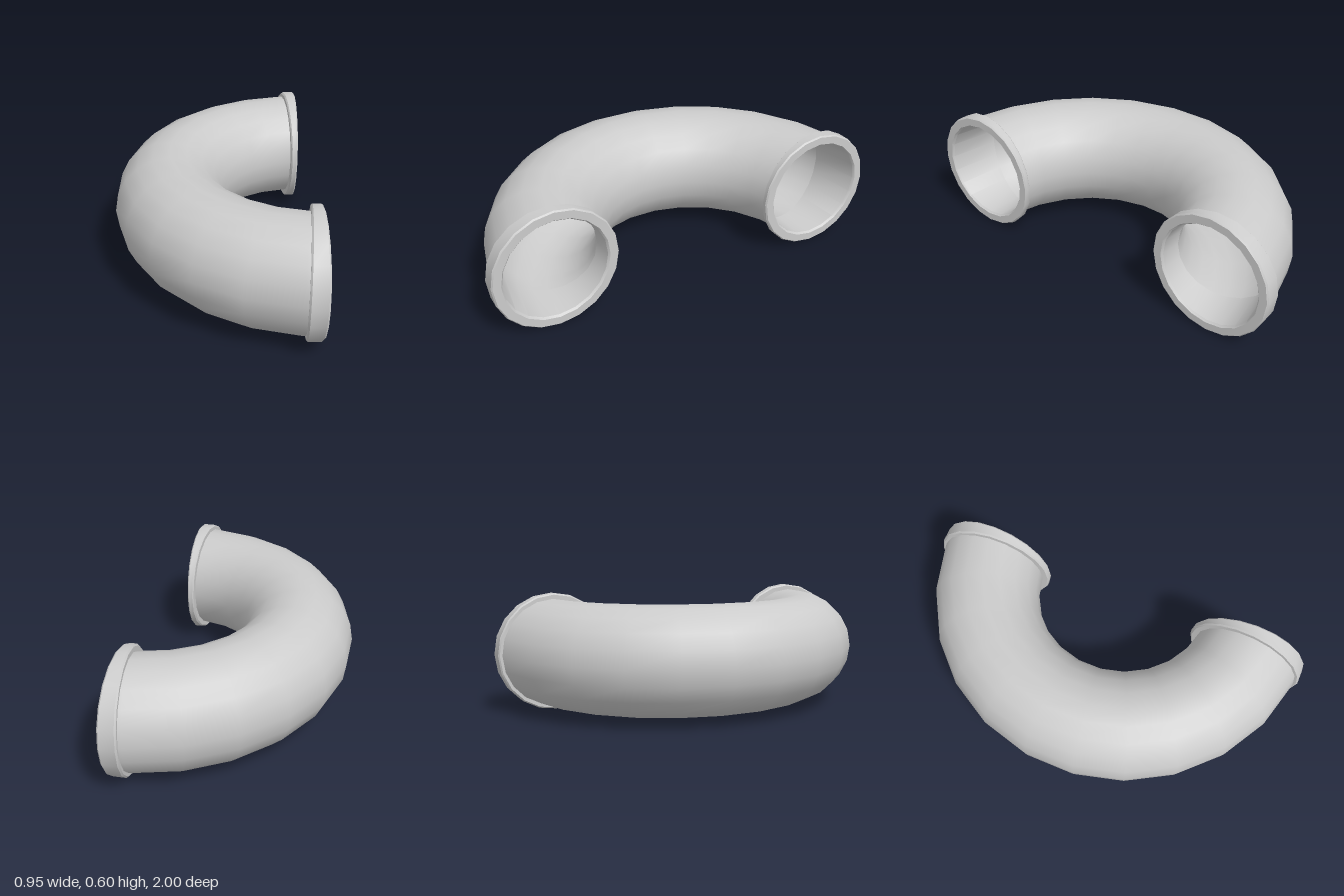
import * as THREE from 'three';
import { toCreasedNormals } from 'three/addons/utils/BufferGeometryUtils.js';

const SIDES = 20, CX = 0.505, CY = 0.3, BEND = 0.713;
const rad = THREE.MathUtils.degToRad;

// Cross-section on the bend; angle 0 is the back of the U, +90 its +z end
function bendRing(deg, r) {
  const t = rad(deg);
  return { x: CX - BEND * Math.cos(t), z: BEND * Math.sin(t), t, r };
}

// Skin circular cross-sections in order
function loft(rings) {
  const pos = [], index = [];
  rings.forEach(({ x, z, t, r }, j) => {
    for (let i = 0; i < SIDES; i++) {
      const a = (i / SIDES) * Math.PI * 2, c = r * Math.cos(a);
      pos.push(x - c * Math.cos(t), CY + r * Math.sin(a), z + c * Math.sin(t));
      if (j === rings.length - 1) continue;
      const k = (i + 1) % SIDES, p = j * SIDES, q = p + SIDES;
      index.push(p + i, q + i, q + k, p + i, q + k, p + k);
    }
  });
  const geo = new THREE.BufferGeometry();
  geo.setAttribute('position', new THREE.Float32BufferAttribute(pos, 3));
  geo.setIndex(index);
  geo.computeVertexNormals();
  return geo;
}

// Collar: tilted back edge, flat front face, chamfered rims, bore [x, tilt, radius]
const COLLAR = [
  [0.418, 5.2, 0.26], [0.418, 5.2, 0.293], [0.425, 5, 0.3],
  [0.471, 0, 0.3], [0.478, 0, 0.294], [0.478, 0, 0.256], [0.468, 0, 0.248],
];

export function createModel() {
  const group = new THREE.Group();
  const material = new THREE.MeshStandardMaterial({ color: 0xcccccc });
  const add = (name, geo) => {
    const mesh = new THREE.Mesh(geo, material);
    mesh.name = name;
    group.add(mesh);
  };

  // Outer wall of the bend
  const angles = [-85];
  for (let d = -82.5; d < 83; d += 15) angles.push(d);
  angles.push(85);
  add('pipeOuterWall', loft(angles.map((d) => bendRing(d, 0.272))));

  // Inner wall, skinned the other way round so it faces the bore
  const inner = [73];
  for (let d = 67.5; d > -68; d -= 15) inner.push(d);
  inner.push(-73);
  add('pipeInnerWall', loft(inner.map((d) => bendRing(d, 0.235))));

  // Mirrored end collars, each bore running back to the inner wall
  for (const s of [1, -1]) {
    const rings = COLLAR.map(([x, tilt, r]) => ({ x, z: s * 0.7, t: s * rad(90 - tilt), r }));
    rings.push(bendRing(s * 73, 0.235));
    if (s < 0) rings.reverse();
    add(s > 0 ? 'frontCollar' : 'backCollar', toCreasedNormals(loft(rings), 0.55));
  }
  return group;
}
